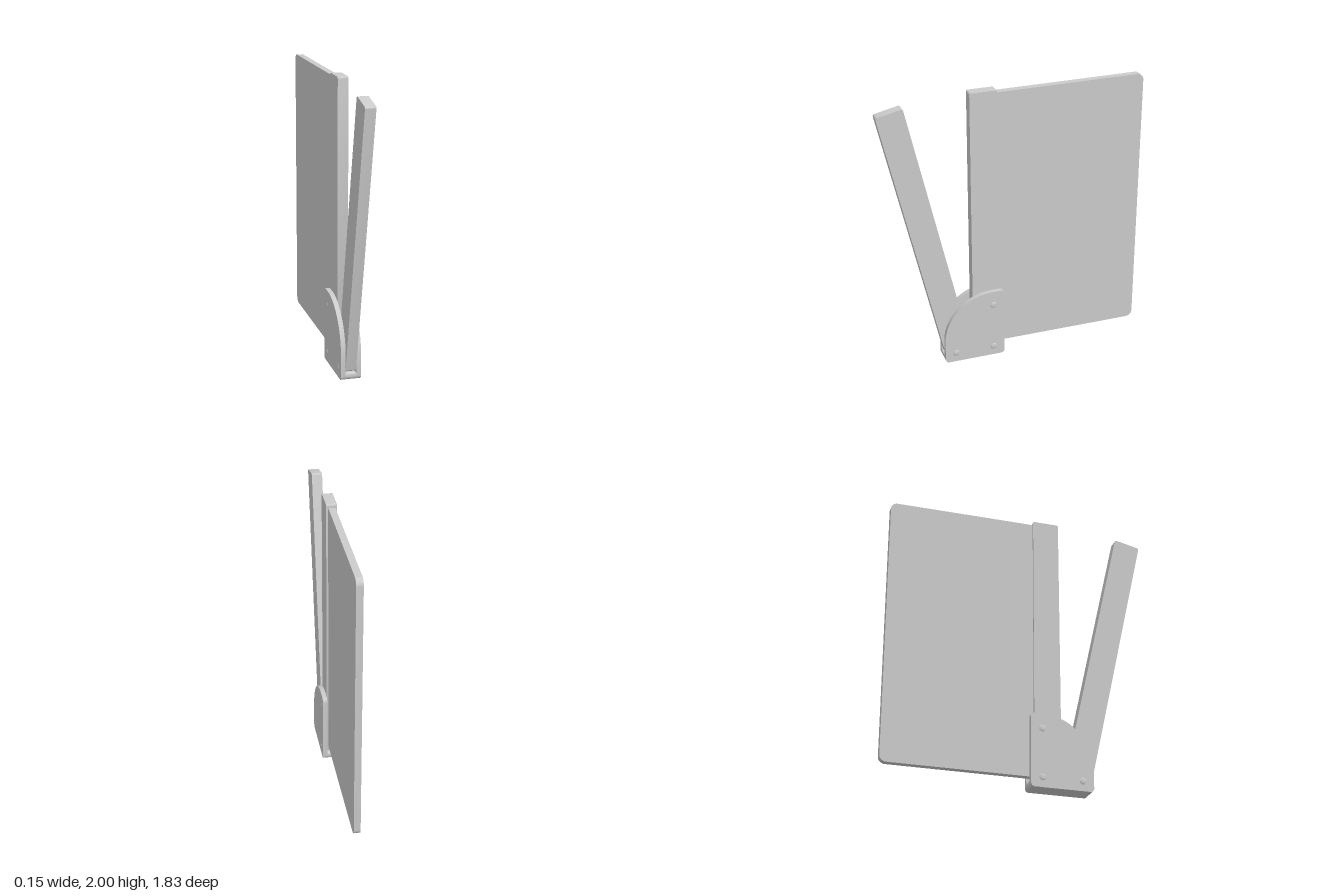
import * as THREE from 'three';
import { toCreasedNormals } from 'three/addons/utils/BufferGeometryUtils.js';

const material = new THREE.MeshStandardMaterial({ color: 0xcccccc });

// Side profile in (z, y) with a radius per corner: [z, y, radius], listed counter-clockwise.
function profile(corners) {
  const shape = new THREE.Shape();
  const n = corners.length;
  corners.forEach(([z, y, r], i) => {
    const toward = ([a, b]) => {
      const len = Math.hypot(a - z, b - y);
      return [z + ((a - z) / len) * r, y + ((b - y) / len) * r];
    };
    const start = toward(corners[(i + n - 1) % n]);
    const end = toward(corners[(i + 1) % n]);
    if (i === 0) shape.moveTo(...start);
    else shape.lineTo(...start);
    // Cubic handles that approximate a circular corner
    const k = 0.5523;
    const mix = ([a, b]) => [a + (z - a) * k, b + (y - b) * k];
    shape.bezierCurveTo(...mix(start), ...mix(end), ...end);
  });
  shape.closePath();
  return shape;
}

// Slab of a side profile, centred on x
function slab(name, corners, thickness, x = 0) {
  let geometry = new THREE.ExtrudeGeometry(profile(corners), {
    depth: thickness, bevelEnabled: false, curveSegments: 14,
  });
  geometry.translate(0, 0, -thickness / 2);
  geometry.rotateY(-Math.PI / 2);
  geometry = toCreasedNormals(geometry, 0.5);
  const mesh = new THREE.Mesh(geometry, material);
  mesh.name = name;
  mesh.position.x = x;
  return mesh;
}

const rect = (z0, y0, z1, y1, r) => [[z0, y0, r], [z1, y0, r], [z1, y1, r], [z0, y1, r]];

export function createModel() {
  const model = new THREE.Group();
  model.name = 'hingedPanel';

  // Large flat panel and the upright post along its front edge
  model.add(slab('panel', rect(-0.915, 0.08, 0.14, 1.98, 0.045), 0.046));
  model.add(slab('post', rect(0.115, 0.045, 0.302, 2, 0.012), 0.072));

  // Leaning arm
  const arm = slab('arm', rect(-0.093, -1.905, 0.093, 0, 0.015), 0.072);
  arm.position.set(0, 1.934, 0.831);
  arm.rotation.x = THREE.MathUtils.degToRad(12.6);
  model.add(arm);

  // Bracket: floor between two quarter-round cheeks
  const bracket = new THREE.Group();
  bracket.name = 'bracket';
  bracket.add(slab('bracketFloor', [
    [0.08, 0, 0.025], [0.515, 0, 0.025], [0.515, 0.045, 0.004], [0.08, 0.045, 0.004],
  ], 0.074));

  const cheek = [[0.08, 0, 0.025], [0.515, 0, 0.025], [0.515, 0.515, 0.35], [0.08, 0.515, 0.028]];
  for (const side of [-1, 1]) {
    bracket.add(slab(side > 0 ? 'leftCheek' : 'rightCheek', cheek, 0.032, side * 0.053));

    // Low domed rivets
    for (const [z, y] of [[0.437, 0.07], [0.16, 0.07], [0.16, 0.41]]) {
      const rivet = new THREE.Mesh(new THREE.SphereGeometry(0.023, 20, 12), material);
      rivet.name = 'rivet';
      rivet.scale.x = 0.25;
      rivet.position.set(side * 0.0685, y, z);
      bracket.add(rivet);
    }
  }
  model.add(bracket);
  return model;
}
